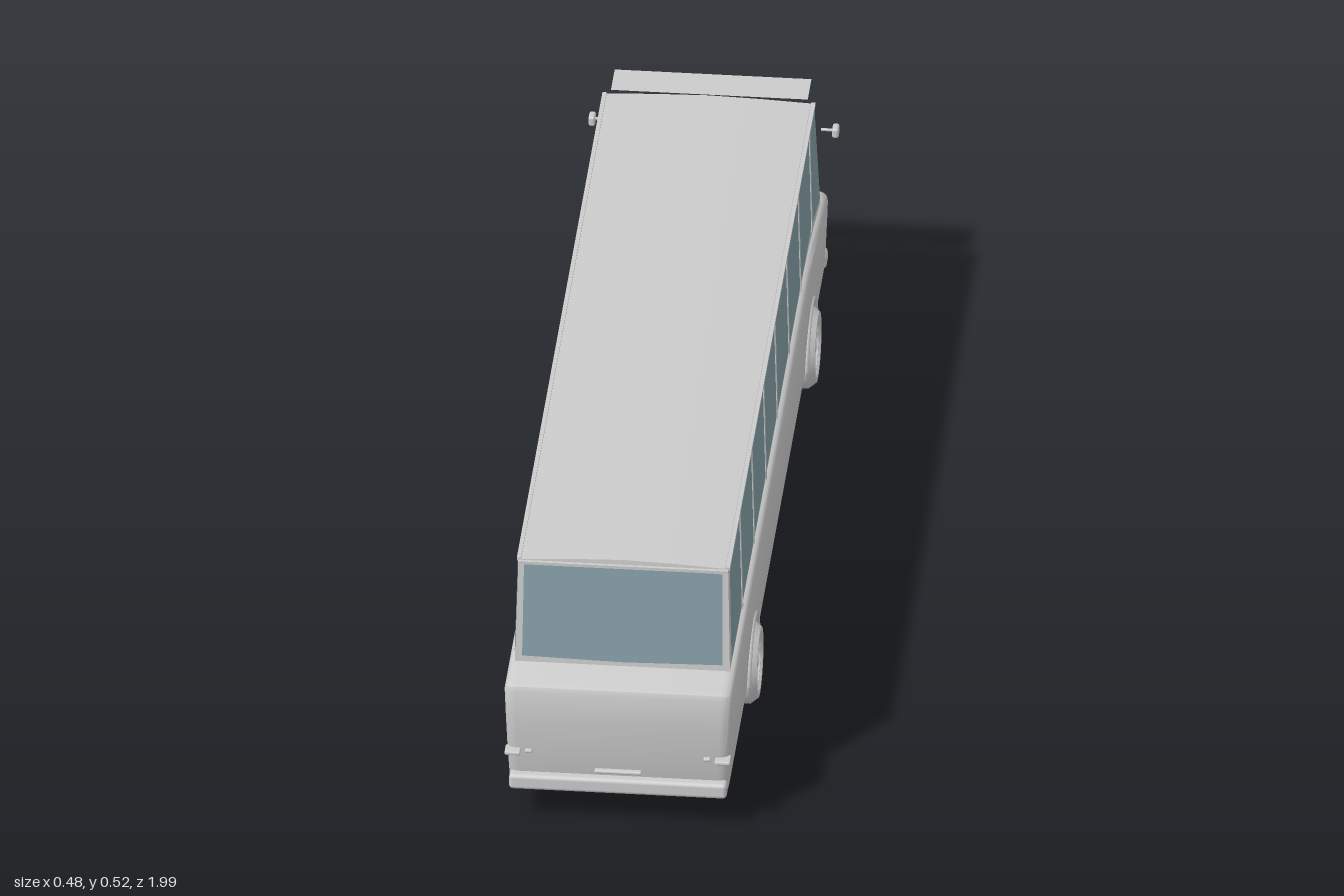
import * as THREE from 'three';
import { toCreasedNormals } from 'three/addons/utils/BufferGeometryUtils.js';
import { RoundedBoxGeometry } from 'three/addons/geometries/RoundedBoxGeometry.js';

const grey = new THREE.MeshStandardMaterial({ color: 0xcccccc });
const greyThin = new THREE.MeshStandardMaterial({ color: 0xcccccc, side: THREE.DoubleSide });
const glass = new THREE.MeshStandardMaterial({ color: 0x859fa7, side: THREE.DoubleSide });

// cabin wall positions by height
const wallX = (y) => 0.206 - 0.0235 * (y - 0.25);
const frontZ = (y) => -0.899 + 0.225 * (y - 0.26);
const rearZ = (y) => 0.887 - 0.09 * (y - 0.295);

const shapeOf = (pts) => new THREE.Shape(pts.map(([a, b]) => new THREE.Vector2(a, b)));

function add(parent, name, geometry, x = 0, y = 0, z = 0, material = grey) {
  const mesh = new THREE.Mesh(geometry, material);
  mesh.name = name;
  mesh.position.set(x, y, z);
  parent.add(mesh);
  return mesh;
}

// move every vertex by a rule
function warp(geometry, rule) {
  const p = geometry.attributes.position;
  const v = new THREE.Vector3();
  for (let i = 0; i < p.count; i++) {
    rule(v.fromBufferAttribute(p, i));
    p.setXYZ(i, v.x, v.y, v.z);
  }
  geometry.computeVertexNormals();
  return geometry;
}

function lowerBody() {
  const profile = shapeOf([
    [0.957, 0.065], [0.965, 0.1], [0.975, 0.16], [0.978, 0.22], [0.978, 0.282], [0.974, 0.292], [0.964, 0.296],
    [-0.58, 0.296], [-0.68, 0.29], [-0.78, 0.277], [-0.93, 0.252], [-0.965, 0.243], [-0.981, 0.228],
    [-0.986, 0.19], [-0.984, 0.12], [-0.97, 0.065],
  ]);
  const depth = 0.392;
  const g = new THREE.ExtrudeGeometry(profile, {
    depth, bevelEnabled: true, bevelThickness: 0.021, bevelSize: 0.014, bevelOffset: -0.014, bevelSegments: 4,
  });
  g.translate(0, 0, -depth / 2);
  g.rotateY(-Math.PI / 2);
  // sides lean in towards the sill
  warp(g, (v) => { v.x *= 1 - 0.04 * Math.max(0, (0.28 - v.y) / 0.215); });
  return toCreasedNormals(g, 0.6);
}

function cabin() {
  const section = shapeOf([
    [-wallX(0.23), 0.23], [wallX(0.23), 0.23], [wallX(0.505), 0.505], [0.194, 0.511], [0.1, 0.516], [0, 0.519],
    [-0.1, 0.516], [-0.194, 0.511], [-wallX(0.505), 0.505],
  ]);
  const g = new THREE.ExtrudeGeometry(section, { depth: 1, bevelEnabled: false });
  // slanted windscreen and rear wall
  warp(g, (v) => { v.z = v.z < 0.5 ? frontZ(v.y) : rearZ(v.y); });
  return toCreasedNormals(g, 0.5);
}

function sideWindow(corners, side) {
  const g = new THREE.ShapeGeometry(shapeOf(corners));
  return warp(g, (v) => { v.set(side * (wallX(v.y) + 0.002), v.y, v.x); });
}

function endWindow(bottom, zOf) {
  const g = new THREE.ShapeGeometry(shapeOf([
    [-0.191, bottom + 0.004], [0, bottom], [0.191, bottom + 0.004], [0.189, 0.5], [0, 0.509], [-0.189, 0.5],
  ]));
  return warp(g, (v) => { v.z = zOf(v.y); });
}

// wheel with its axle along x, outer face at +x
function wheel() {
  const group = new THREE.Group();
  group.name = 'wheel';
  const profile = [
    [0, -0.045], [0.066, -0.045], [0.08, -0.03], [0.08, 0.03], [0.068, 0.045], [0.058, 0.045],
    [0.054, 0.041], [0.05, 0.041], [0.046, 0.03], [0, 0.03],
  ].map(([r, a]) => new THREE.Vector2(r, a));
  const tyre = new THREE.LatheGeometry(profile, 36);
  tyre.rotateZ(-Math.PI / 2);
  add(group, 'tyreAndRim', toCreasedNormals(tyre, 0.5));
  const hub = new THREE.CylinderGeometry(0.011, 0.014, 0.012, 20);
  hub.rotateZ(-Math.PI / 2);
  add(group, 'hub', hub, 0.035);
  for (let i = 0; i < 6; i++) {
    const spoke = new THREE.BoxGeometry(0.007, 0.036, 0.012);
    spoke.translate(0, 0.029, 0);
    add(group, 'spoke', spoke, 0.033).rotation.x = (i * Math.PI) / 3;
  }
  return group;
}

export function createModel() {
  const bus = new THREE.Group();
  bus.name = 'bus';
  add(bus, 'lowerBody', lowerBody());
  add(bus, 'cabin', cabin());

  // glazing
  add(bus, 'windscreen', endWindow(0.268, (y) => frontZ(y) - 0.002), 0, 0, 0, glass);
  add(bus, 'rearWindow', endWindow(0.305, (y) => rearZ(y) + 0.002), 0, 0, 0, glass);
  const pillars = [0.657, 0.42, 0.185, -0.04, -0.276, -0.507, -0.73];
  const top = 0.505, sill = 0.31, gap = 0.011;
  for (const side of [-1, 1]) {
    add(bus, 'sideWindow', sideWindow([
      [0.872, sill], [0.857, top], [pillars[0] + gap, top], [pillars[0] + gap, sill],
    ], side), 0, 0, 0, glass);
    for (let i = 0; i < pillars.length - 1; i++) {
      const a = pillars[i] - gap, b = pillars[i + 1] + gap;
      add(bus, 'sideWindow', sideWindow([[a, sill], [a, top], [b, top], [b, sill]], side), 0, 0, 0, glass);
    }
    add(bus, 'frontSideWindow', sideWindow([
      [-0.741, 0.306], [-0.741, top], [frontZ(top) + 0.01, top], [frontZ(0.275) + 0.01, 0.275],
    ], side), 0, 0, 0, glass);
    // pillar strips and roof gutter
    for (const z of pillars) {
      const strip = new THREE.BoxGeometry(0.006, 0.21, 0.014);
      warp(strip, (v) => { v.x += side * wallX(v.y + 0.403); });
      add(bus, 'pillar', strip, 0, 0.403, z);
    }
    add(bus, 'roofGutter', new THREE.BoxGeometry(0.008, 0.007, 1.71), side * 0.199, 0.51, 0.012);
  }
  add(bus, 'rearRoofEdge', new THREE.BoxGeometry(0.4, 0.006, 0.01), 0, 0.506, 0.869);

  // flat sun visor over the windscreen
  const visor = new THREE.PlaneGeometry(0.375, 0.075);
  visor.rotateX(-Math.PI / 2);
  add(bus, 'sunVisor', visor, 0, 0.515, -0.887, greyThin);

  // wheels and arch lips
  for (const z of [0.493, -0.665]) {
    for (const side of [-1, 1]) {
      const w = wheel();
      w.position.set(side * 0.18, 0.08, z);
      if (side < 0) w.rotation.y = Math.PI;
      bus.add(w);
      const lip = new THREE.TorusGeometry(0.092, 0.006, 8, 32, Math.PI);
      lip.rotateY(Math.PI / 2);
      add(bus, 'wheelArch', lip, side * 0.211, 0.08, z);
    }
  }

  // bumpers
  add(bus, 'frontBumper', new RoundedBoxGeometry(0.425, 0.034, 0.04, 3, 0.01), 0, 0.087, -0.979);
  add(bus, 'rearBumper', new RoundedBoxGeometry(0.415, 0.032, 0.03, 3, 0.008), 0, 0.084, 0.968);
  add(bus, 'rearHandle', new RoundedBoxGeometry(0.09, 0.007, 0.012, 2, 0.003), 0, 0.113, 0.972);
  add(bus, 'frontGrille', new RoundedBoxGeometry(0.2, 0.012, 0.012, 2, 0.003), 0, 0.128, -0.985);

  // lamps and mirrors on both sides
  for (const side of [-1, 1]) {
    add(bus, 'rearLamp', new RoundedBoxGeometry(0.03, 0.008, 0.03, 2, 0.003), side * 0.2, 0.153, 0.977);
    add(bus, 'rearReflector', new RoundedBoxGeometry(0.014, 0.007, 0.014, 2, 0.003), side * 0.17, 0.153, 0.975);
    add(bus, 'headlamp', new RoundedBoxGeometry(0.075, 0.016, 0.02, 2, 0.004), side * 0.165, 0.13, -0.984);
    const arm = new THREE.CylinderGeometry(0.003, 0.003, 0.026, 8);
    arm.rotateZ(Math.PI / 2);
    add(bus, 'mirrorArm', arm, side * 0.217, 0.392, -0.945);
    add(bus, 'mirror', new RoundedBoxGeometry(0.013, 0.021, 0.026, 3, 0.005), side * 0.232, 0.392, -0.943);
  }
  return bus;
}
